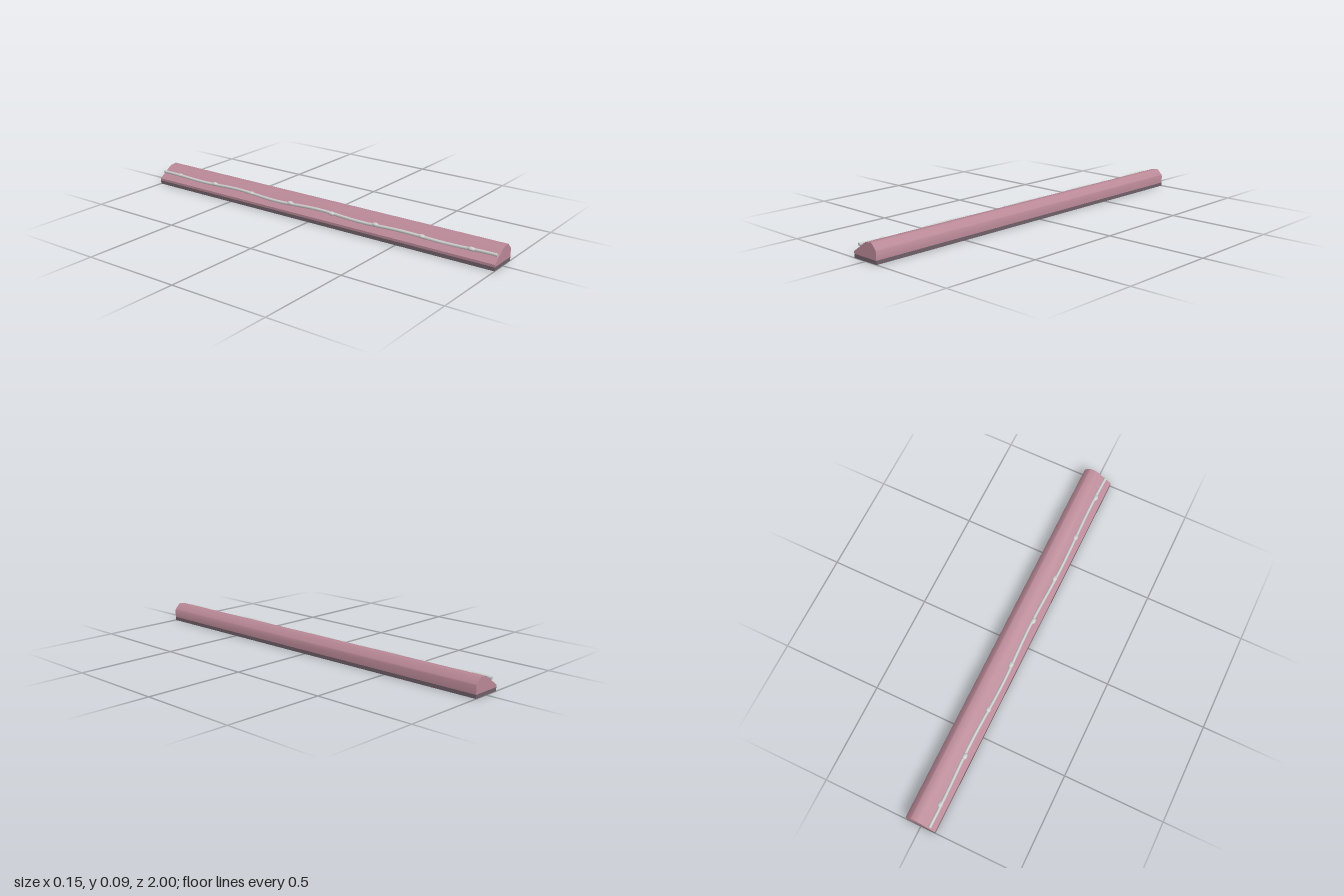
import * as THREE from 'three';
import { toCreasedNormals } from 'three/addons/utils/BufferGeometryUtils.js';

const LENGTH = 2;

// Extrude an x/y outline along the full length, centred on z
function extrudeProfile(points, name, color) {
  const shape = new THREE.Shape(points.map(([x, y]) => new THREE.Vector2(x, y)));
  const geometry = new THREE.ExtrudeGeometry(shape, { depth: LENGTH, bevelEnabled: false });
  geometry.translate(0, 0, -LENGTH / 2);
  const mesh = new THREE.Mesh(
    toCreasedNormals(geometry, 0.65),
    new THREE.MeshStandardMaterial({ color })
  );
  mesh.name = name;
  return mesh;
}

// Gently wandering centre line of the vine, just above the slope
function vinePoint(z) {
  return new THREE.Vector3(
    -0.045 + 0.004 * Math.sin(z * 9 + 0.6),
    0.06 + 0.004 * Math.sin(z * 13 + 1.2),
    z
  );
}

export function createModel() {
  const model = new THREE.Group();
  model.name = 'moulding';

  // Dark flat strip under the moulding
  model.add(extrudeProfile(
    [[-0.075, 0], [0.073, 0], [0.073, 0.018], [-0.075, 0.018]],
    'base', 0x6f5f68
  ));

  // Sloped moulding with a softened crest
  model.add(extrudeProfile(
    [[-0.075, 0.018], [0.073, 0.018], [0.073, 0.058], [0.069, 0.064], [0.046, 0.088],
      [0.041, 0.09], [0.008, 0.086], [0.001, 0.083], [-0.075, 0.03]],
    'body', 0xb98896
  ));

  // Vine running along the slope
  const grey = new THREE.MeshStandardMaterial({ color: 0xcccccc });
  const vine = new THREE.Group();
  vine.name = 'vine';
  const path = new THREE.CatmullRomCurve3(
    Array.from({ length: 33 }, (_, i) => vinePoint(-0.995 + (1.99 * i) / 32))
  );
  const stem = new THREE.Mesh(new THREE.TubeGeometry(path, 160, 0.0075, 10), grey);
  stem.name = 'stem';
  vine.add(stem);

  // Closed stem ends
  for (const side of [-1, 1]) {
    const cap = new THREE.Mesh(new THREE.CircleGeometry(0.0075, 10), grey);
    cap.name = 'stemEnd';
    cap.position.copy(vinePoint(0.995 * side));
    if (side < 0) cap.rotation.y = Math.PI;
    vine.add(cap);
  }

  // Evenly spaced buds
  const budGeometry = new THREE.SphereGeometry(1, 14, 10);
  for (let i = 0; i < 8; i++) {
    const z = -0.88 + i * 0.25;
    const bud = new THREE.Mesh(budGeometry, grey);
    bud.name = 'bud';
    bud.position.set(-0.045, 0.062, z);
    bud.scale.set(0.012, 0.0095, 0.018);
    vine.add(bud);
  }
  model.add(vine);

  return model;
}
